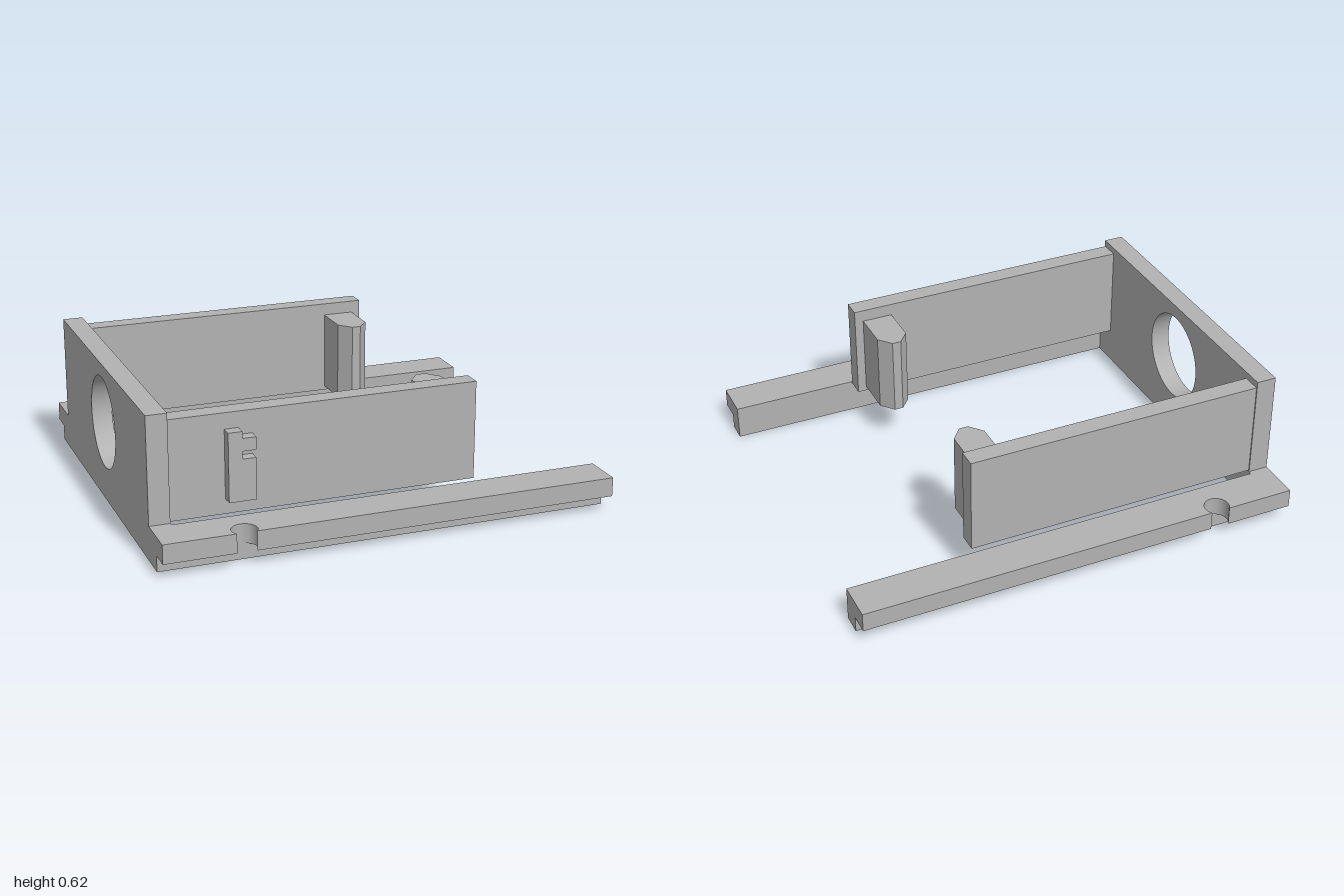
import * as THREE from 'three';
import { toCreasedNormals } from 'three/addons/utils/BufferGeometryUtils.js';

export function createModel() {
  const group = new THREE.Group();
  const grey = new THREE.MeshStandardMaterial({ name: 'plain grey', color: 0xb2b2b2 });

  const add = (name, geometry) => {
    const mesh = new THREE.Mesh(geometry, grey);
    mesh.name = name;
    group.add(mesh);
  };
  const shapeOf = (points) => new THREE.Shape(points.map(([x, y]) => new THREE.Vector2(x, y)));
  const extrude = (shape, depth) => toCreasedNormals(
    new THREE.ExtrudeGeometry(shape, { depth, bevelEnabled: false, curveSegments: 32 }), 0.6);
  // Box given by its limits on each axis
  const box = (x0, x1, y0, y1, z0, z1) =>
    new THREE.BoxGeometry(x1 - x0, y1 - y0, Math.abs(z1 - z0))
      .translate((x0 + x1) / 2, (y0 + y1) / 2, (z0 + z1) / 2);
  // Plan outline of [x, z] points raised from y0 to y1
  const plan = (points, side, y0, y1) =>
    extrude(shapeOf(points.map(([x, z]) => [x, -z * side])), y1 - y0)
      .rotateX(-Math.PI / 2).translate(0, y0, 0);

  // End plate with a round opening
  const plate = shapeOf([[-0.72, 0], [0.72, 0], [0.72, 0.155], [0.705, 0.155],
    [0.705, 0.625], [-0.705, 0.625], [-0.705, 0.155], [-0.72, 0.155]]);
  plate.holes.push(new THREE.Path().absarc(0, 0.36, 0.205, 0, Math.PI * 2, true));
  add('endPlate', extrude(plate, 0.09).rotateY(Math.PI / 2).translate(-1, 0, 0));

  // Rounded notch cut into the outer edge of each rail
  const radius = 0.055, notchX = -0.65, notchZ = 0.865;
  const start = Math.asin((0.9 - notchZ) / radius);
  const notch = [];
  for (let i = 0; i <= 24; i++) {
    const a = start - (Math.PI + 2 * start) * i / 24;
    notch.push([notchX + radius * Math.cos(a), notchZ + radius * Math.sin(a)]);
  }
  const railOutline = [[-1, 0.72], [1, 0.72], [1, 0.9], ...notch, [-1, 0.9]];
  const postOutline = [[0.255, 0.615], [0.255, 0.435], [0.305, 0.375],
    [0.345, 0.375], [0.395, 0.435], [0.395, 0.615]];

  // Mirrored rails, walls and posts
  for (const [side, label] of [[1, 'front'], [-1, 'back']]) {
    add(label + 'RailTop', plan(railOutline, side, 0.07, 0.155));
    add(label + 'RailFoot', box(-1, 1, 0, 0.07, 0.72 * side, 0.81 * side));
    add(label + 'Wall', box(-0.91, 0.435, 0.16, 0.595, 0.615 * side, 0.70 * side));
    add(label + 'Post', plan(postOutline, side, 0.18, 0.54));
  }

  // Notched tab on the front wall
  const tab = shapeOf([[-0.675, 0.225], [-0.557, 0.225], [-0.557, 0.407], [-0.615, 0.407],
    [-0.615, 0.44], [-0.557, 0.44], [-0.557, 0.495], [-0.615, 0.495],
    [-0.615, 0.525], [-0.675, 0.525]]);
  add('notchedTab', extrude(tab, 0.05).translate(0, 0, 0.70));

  return group;
}
